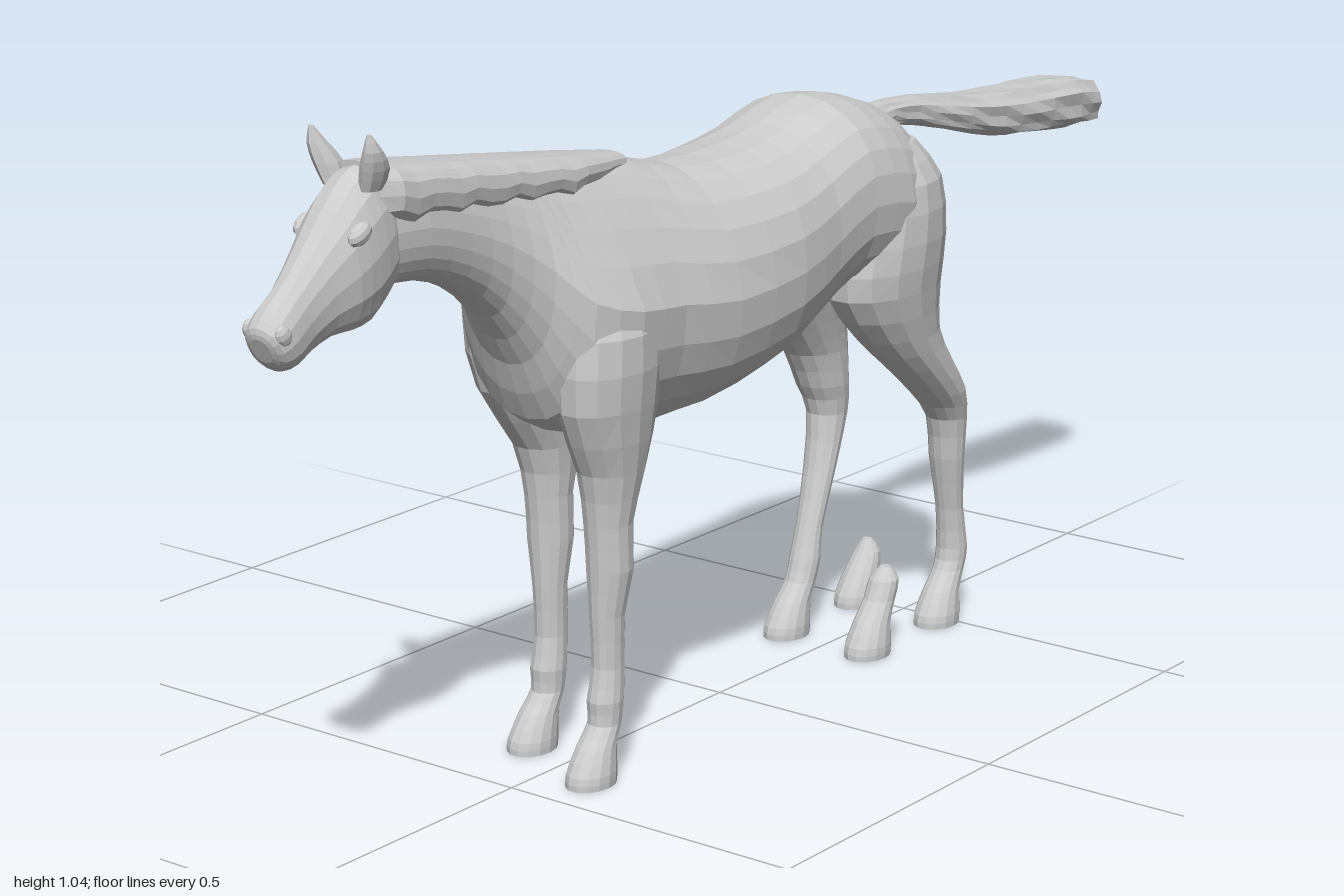
import * as THREE from 'three';

const coat = new THREE.MeshStandardMaterial({ color: 0xcccccc, flatShading: true });
coat.name = 'grey coat';

// Lofts rounded rings through sections [ax, ay, bx, by, halfWidth, z, taper].
// a and b are the two ends of a ring in the side plane; taper narrows the a end.
function loft(name, sections, { sides = 20, steps = 2, square = 1, ripple = 0 } = {}) {
  const curve = (f) => new THREE.CatmullRomCurve3(sections.map(f), false, 'catmullrom', 0.5);
  const a = curve((s) => new THREE.Vector3(s[0], s[1], s[4]));
  const b = curve((s) => new THREE.Vector3(s[2], s[3], s[5] || 0));
  const c = curve((s) => new THREE.Vector3(s[6] || 0, 0, 0));
  const rings = (sections.length - 1) * steps;
  const pos = [], index = [];
  const soft = (v) => Math.sign(v) * Math.abs(v) ** square;
  for (let i = 0; i <= rings; i++) {
    const p = a.getPoint(i / rings), q = b.getPoint(i / rings), k = c.getPoint(i / rings).x;
    for (let j = 0; j < sides; j++) {
      const t = (j / sides) * Math.PI * 2;
      const r = 1 + ripple * Math.sin(j * 2.4 + Math.sin(i * 1.3)) ;
      const s = soft(Math.sin(t)) * r, w = p.z * soft(Math.cos(t)) * r * (1 - k * Math.max(0, s));
      pos.push((p.x + q.x) / 2 + (p.x - q.x) / 2 * s, Math.max(0, (p.y + q.y) / 2 + (p.y - q.y) / 2 * s), q.z + w);
    }
  }
  for (let i = 0; i < rings; i++) for (let j = 0; j < sides; j++) {
    const m = i * sides + j, n = i * sides + (j + 1) % sides;
    index.push(m, n, m + sides, n, n + sides, m + sides);
  }
  // end caps
  for (const i of [0, rings]) {
    const p = a.getPoint(i / rings), q = b.getPoint(i / rings), mid = pos.length / 3;
    pos.push((p.x + q.x) / 2, (p.y + q.y) / 2, q.z);
    for (let j = 0; j < sides; j++) {
      const m = i * sides + j, n = i * sides + (j + 1) % sides;
      index.push(...(i ? [mid, m, n] : [mid, n, m]));
    }
  }
  // turn the faces outward
  let volume = 0;
  const v = [0, 1, 2].map(() => new THREE.Vector3());
  for (let i = 0; i < index.length; i += 3) {
    v.forEach((e, k) => e.fromArray(pos, index[i + k] * 3));
    volume += v[0].dot(v[1].clone().cross(v[2]));
  }
  if (volume < 0) index.reverse();
  const g = new THREE.BufferGeometry();
  g.setAttribute('position', new THREE.Float32BufferAttribute(pos, 3));
  g.setIndex(index);
  g.computeVertexNormals();
  const mesh = new THREE.Mesh(g, coat);
  mesh.name = name;
  return mesh;
}

// Leg rows are [y, x, halfLength, z, halfWidth], from the top down.
const leg = (name, rows, side, dx = 0) => loft(name, rows.map(([y, x, rx, z, rz]) => {
  const shift = dx * Math.min(1, Math.max(0, (0.65 - y) / 0.2));
  return [x + rx + shift, y, x - rx + shift, y, rz, z * side];
}), { sides: 14 });

const foot = (x) => [
  [0.085, x + 0.035, 0.026, 0.078, 0.025], [0.055, x + 0.015, 0.033, 0.079, 0.028],
  [0.02, x + 0.002, 0.043, 0.08, 0.034], [0, x, 0.044, 0.08, 0.034],
];
const thigh = [
  [0.83, 0.32, 0.06, 0.08, 0.035], [0.77, 0.325, 0.1, 0.085, 0.068], [0.68, 0.315, 0.122, 0.085, 0.077],
  [0.6, 0.31, 0.12, 0.085, 0.07],
];
const rearHind = [...thigh,
  [0.52, 0.345, 0.085, 0.088, 0.056], [0.46, 0.4, 0.066, 0.09, 0.048], [0.4, 0.46, 0.05, 0.088, 0.043],
  [0.35, 0.49, 0.033, 0.085, 0.034], [0.28, 0.497, 0.026, 0.082, 0.03], [0.19, 0.512, 0.022, 0.079, 0.023],
  [0.12, 0.522, 0.025, 0.078, 0.026], ...foot(0.478)];
const forwardHind = [...thigh,
  [0.52, 0.34, 0.085, 0.088, 0.056], [0.46, 0.372, 0.06, 0.09, 0.048], [0.4, 0.388, 0.046, 0.088, 0.043],
  [0.35, 0.397, 0.034, 0.085, 0.034], [0.26, 0.372, 0.023, 0.081, 0.028], [0.17, 0.342, 0.02, 0.079, 0.023],
  [0.12, 0.33, 0.025, 0.078, 0.026], ...foot(0.283)];
const fore = [
  [0.76, -0.37, 0.06, 0.08, 0.03], [0.68, -0.375, 0.09, 0.088, 0.062], [0.57, -0.375, 0.09, 0.085, 0.06],
  [0.47, -0.365, 0.056, 0.082, 0.047], [0.39, -0.37, 0.038, 0.08, 0.036], [0.32, -0.367, 0.036, 0.08, 0.035],
  [0.25, -0.372, 0.028, 0.078, 0.026], [0.17, -0.371, 0.026, 0.078, 0.024], [0.12, -0.378, 0.029, 0.078, 0.027],
  ...foot(-0.415)];

export function createModel() {
  const horse = new THREE.Group();
  horse.name = 'horse';

  // neck, chest, barrel and rump
  horse.add(loft('body', [
    [-0.8, 0.97, -0.78, 0.81, 0.045, 0, 0.1], [-0.72, 0.97, -0.7, 0.805, 0.054, 0, 0.1],
    [-0.64, 0.955, -0.62, 0.775, 0.057, 0, 0.1], [-0.56, 0.945, -0.55, 0.72, 0.066, 0, 0.2],
    [-0.49, 0.935, -0.495, 0.64, 0.09, 0, 0.35], [-0.44, 0.925, -0.455, 0.55, 0.126, 0, 0.5],
    [-0.37, 0.918, -0.37, 0.51, 0.15, 0, 0.55], [-0.27, 0.905, -0.27, 0.5, 0.147, 0, 0.4],
    [-0.15, 0.873, -0.15, 0.499, 0.158, 0, 0.15], [0, 0.873, 0, 0.525, 0.164], [0.1, 0.888, 0.1, 0.565, 0.155],
    [0.2, 0.914, 0.19, 0.605, 0.153], [0.3, 0.898, 0.28, 0.6, 0.155, 0, 0.1], [0.37, 0.868, 0.36, 0.59, 0.135, 0, 0.1],
    [0.42, 0.82, 0.41, 0.62, 0.09], [0.442, 0.76, 0.435, 0.68, 0.03],
  ], { sides: 24, square: 0.9 }));

  // head, from the cheeks to the muzzle
  horse.add(loft('head', [
    [-0.755, 0.975, -0.735, 0.83, 0.035], [-0.795, 0.985, -0.76, 0.8, 0.05], [-0.83, 0.972, -0.8, 0.768, 0.056],
    [-0.865, 0.938, -0.84, 0.762, 0.055], [-0.9, 0.898, -0.875, 0.762, 0.044], [-0.945, 0.85, -0.91, 0.75, 0.035],
    [-0.98, 0.822, -0.935, 0.738, 0.037], [-0.998, 0.8, -0.965, 0.735, 0.033], [-0.998, 0.785, -0.982, 0.75, 0.018],
  ], { sides: 16, square: 0.9 }));

  // mane lying over both sides of the neck, with a ragged lower edge
  const mane = [];
  for (let i = 0; i <= 18; i++) {
    const u = i / 18, x = -0.8 + 0.54 * u, end = Math.min(1, (1 - u) * 4);
    const low = 0.9 - 0.04 * u + 0.007 * Math.sin(i * 2.3);
    const top = 0.99 - 0.082 * u;
    mane.push([x, top, x, THREE.MathUtils.lerp(top - 0.03, low, end), 0.062 * (0.5 + 0.5 * end) * (i ? 1 : 0.7)]);
  }
  horse.add(loft('mane', mane, { sides: 16, steps: 1, square: 0.75 }));

  // ears, eyes and nostrils
  for (const side of [1, -1]) {
    horse.add(loft('ear', [
      [-0.785, 0.955, -0.825, 0.955, 0.014, 0.032 * side], [-0.785, 0.985, -0.832, 0.985, 0.018, 0.042 * side],
      [-0.805, 1.012, -0.835, 1.012, 0.013, 0.05 * side], [-0.826, 1.036, -0.832, 1.036, 0.003, 0.052 * side],
    ], { sides: 8 }));
    const bump = (name, x, y, z, sx, sy, sz) => {
      const m = new THREE.Mesh(new THREE.SphereGeometry(1, 10, 6), coat);
      m.name = name;
      m.position.set(x, y, z * side);
      m.scale.set(sx, sy, sz);
      m.rotation.z = 0.5;
      horse.add(m);
    };
    bump('eye', -0.848, 0.905, 0.049, 0.022, 0.014, 0.013);
    bump('nostril', -0.978, 0.79, 0.029, 0.013, 0.016, 0.01);
  }

  // straight tail with a blunt end and grooved hair
  horse.add(loft('tail', [
    [0.36, 0.862, 0.38, 0.81, 0.025], [0.42, 0.866, 0.43, 0.825, 0.024], [0.49, 0.862, 0.49, 0.818, 0.026],
    [0.57, 0.852, 0.57, 0.798, 0.04], [0.66, 0.838, 0.66, 0.775, 0.049], [0.75, 0.832, 0.75, 0.757, 0.053],
    [0.84, 0.828, 0.84, 0.749, 0.055], [0.93, 0.823, 0.93, 0.74, 0.053], [1, 0.81, 1, 0.737, 0.045],
  ], { sides: 18, square: 0.7, ripple: 0.07 }));

  // legs
  horse.add(leg('leftSideFrontLeg', fore, 1));
  horse.add(leg('rightSideFrontLeg', fore, -1, 0.058));
  horse.add(leg('rearHindLeg', rearHind, 1));
  horse.add(leg('forwardHindLeg', forwardHind, -1));

  // separate spare hooves beside the hind legs
  horse.add(leg('spareForwardHoof', [[0.135, 0.333, 0.008, 0.078, 0.008], [0.115, 0.33, 0.024, 0.078, 0.024], ...foot(0.283)], 1));
  horse.add(leg('spareRearHoof', [[0.105, 0.505, 0.008, 0.078, 0.008], ...foot(0.478).map((r, i) => i ? r : [0.085, 0.505, 0.022, 0.078, 0.022])], -1));

  return horse;
}
